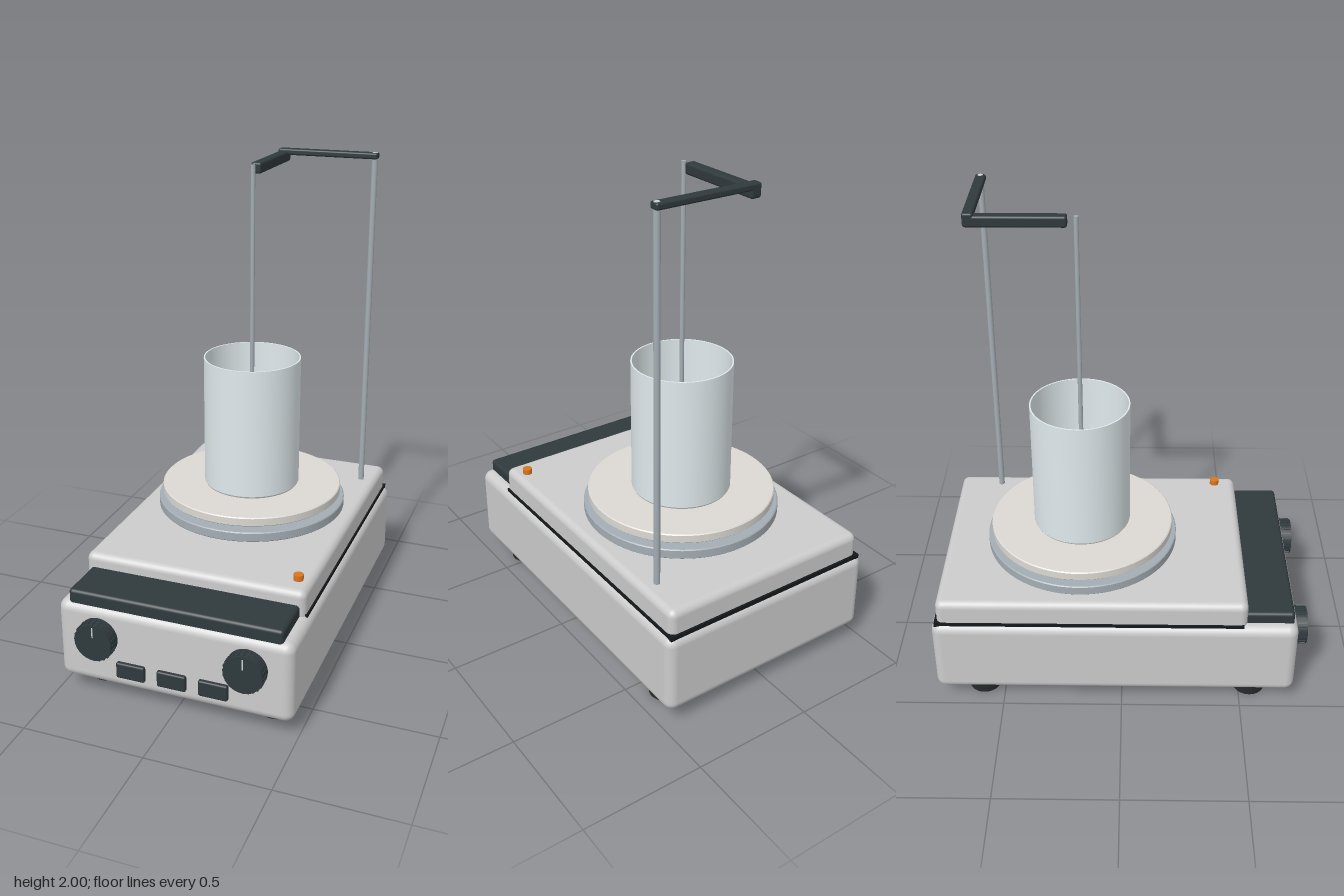
import * as THREE from 'three';
import { RoundedBoxGeometry } from 'three/addons/geometries/RoundedBoxGeometry.js';

const mat = (color, side = THREE.FrontSide) => new THREE.MeshStandardMaterial({ color, side });
const shell = mat(0xc3c7c5), dark = mat(0x2f393c), rubber = mat(0x26292a), black = mat(0x15181a);
const steel = mat(0xa3adb3), ceramic = mat(0xdcd9d3), pale = mat(0xc9cfd0);
const glass = mat(0xdfe9ec, THREE.DoubleSide), water = mat(0x9dd3dc), orange = mat(0xd9771e);

export function createModel() {
  const model = new THREE.Group();
  model.name = 'hotplateStirrer';

  const add = (name, geometry, material, parent = model) => {
    const mesh = new THREE.Mesh(geometry, material);
    mesh.name = name;
    parent.add(mesh);
    return mesh;
  };
  // Box given by its extents; r rounds the edges
  const box = (name, material, [x0, x1], [y0, y1], [z0, z1], r = 0) => {
    const size = [x1 - x0, y1 - y0, z1 - z0];
    const geometry = r ? new RoundedBoxGeometry(...size, 5, r) : new THREE.BoxGeometry(...size);
    add(name, geometry, material).position.set((x0 + x1) / 2, (y0 + y1) / 2, (z0 + z1) / 2);
  };
  // Upright cylinder between two heights
  const post = (name, material, x, z, y0, y1, r, sides = 32, rTop = r) =>
    add(name, new THREE.CylinderGeometry(rTop, r, y1 - y0, sides), material).position.set(x, (y0 + y1) / 2, z);
  // Disc turned from a profile with chamfered rims
  const disc = (name, material, z, y0, y1, r, c) => {
    const p = [[0, y0], [r - c, y0], [r, y0 + c], [r, y1 - c], [r - c, y1], [0, y1]];
    const pts = [];
    // doubled corners keep the rims crisp
    p.forEach(([a, b]) => pts.push(new THREE.Vector2(a, b), new THREE.Vector2(a, b)));
    add(name, new THREE.LatheGeometry(pts.slice(1, -1), 72), material).position.z = z;
  };

  // Housing
  box('lowerHousing', shell, [-0.485, 0.485], [0.07, 0.412], [-0.78, 0.725], 0.04);
  box('seam', black, [-0.468, 0.468], [0.4, 0.418], [-0.767, 0.5]);
  box('upperHousing', shell, [-0.462, 0.462], [0.37, 0.517], [-0.758, 0.515], 0.03);
  box('controlPanel', dark, [-0.44, 0.44], [0.38, 0.46], [0.49, 0.708], 0.015);

  // Feet
  for (const x of [-0.367, 0.367]) {
    for (const z of [0.547, -0.59]) {
      post('foot', rubber, x, z, 0, 0.055, 0.067, 40);
      post('footCollar', black, x, z, 0.05, 0.08, 0.063, 40);
    }
  }

  // Knobs with grip ribs and a pointer line
  for (const x of [-0.307, 0.307]) {
    const knob = new THREE.Group();
    knob.name = 'knob';
    knob.position.set(x, 0.287, 0.72);
    model.add(knob);
    const body = add('knobBody', new THREE.CylinderGeometry(0.078, 0.081, 0.056, 48), dark, knob);
    body.rotation.x = Math.PI / 2;
    body.position.z = 0.03;
    for (let i = 0; i < 24; i++) {
      const a = (i / 24) * Math.PI * 2;
      const rib = add('knobRib', new THREE.BoxGeometry(0.006, 0.008, 0.036), dark, knob);
      rib.position.set(Math.sin(a) * 0.079, Math.cos(a) * 0.079, 0.034);
      rib.rotation.z = -a;
    }
    const pointer = add('knobPointer', new THREE.BoxGeometry(0.005, 0.044, 0.004), pale, knob);
    pointer.position.set(0, 0.046, 0.058);
  }

  // Push buttons
  for (const x of [-0.172, 0, 0.172]) {
    box('button', dark, [x - 0.06, x + 0.06], [0.125, 0.193], [0.71, 0.741], 0.008);
  }

  // Indicator lamp
  post('indicatorLamp', orange, 0.405, 0.42, 0.515, 0.54, 0.02, 24);

  // Heating plate over its trim ring
  const cz = -0.175;
  disc('trimRing', steel, cz, 0.522, 0.564, 0.405, 0.004);
  disc('heatingPlate', ceramic, cz, 0.583, 0.622, 0.387, 0.004);

  // Open beaker with liquid
  const wall = [[0, 0.622], [0.2, 0.622], [0.205, 0.63], [0.205, 1.188], [0.199, 1.188], [0.199, 0.636], [0, 0.636]];
  const beakerPts = wall.flatMap(([a, b]) => [new THREE.Vector2(a, b), new THREE.Vector2(a, b)]).slice(1, -1);
  add('beaker', new THREE.LatheGeometry(beakerPts, 64), glass).position.z = cz;
  post('liquid', water, 0, cz, 0.637, 0.93, 0.198, 64);

  // Support rod, arm and probe
  post('supportRod', steel, 0.395, -0.57, 0.51, 1.995, 0.0125, 24);
  box('crossArm', dark, [-0.022, 0.41], [1.974, 2], [-0.591, -0.549], 0.008);
  box('probeArm', dark, [-0.022, 0.022], [1.945, 1.99], [-0.591, -0.205], 0.01);
  post('rodTip', pale, 0.395, -0.57, 1.99, 2.001, 0.011, 20);
  post('probe', steel, 0, -0.172, 0.72, 1.985, 0.009, 20);

  return model;
}
